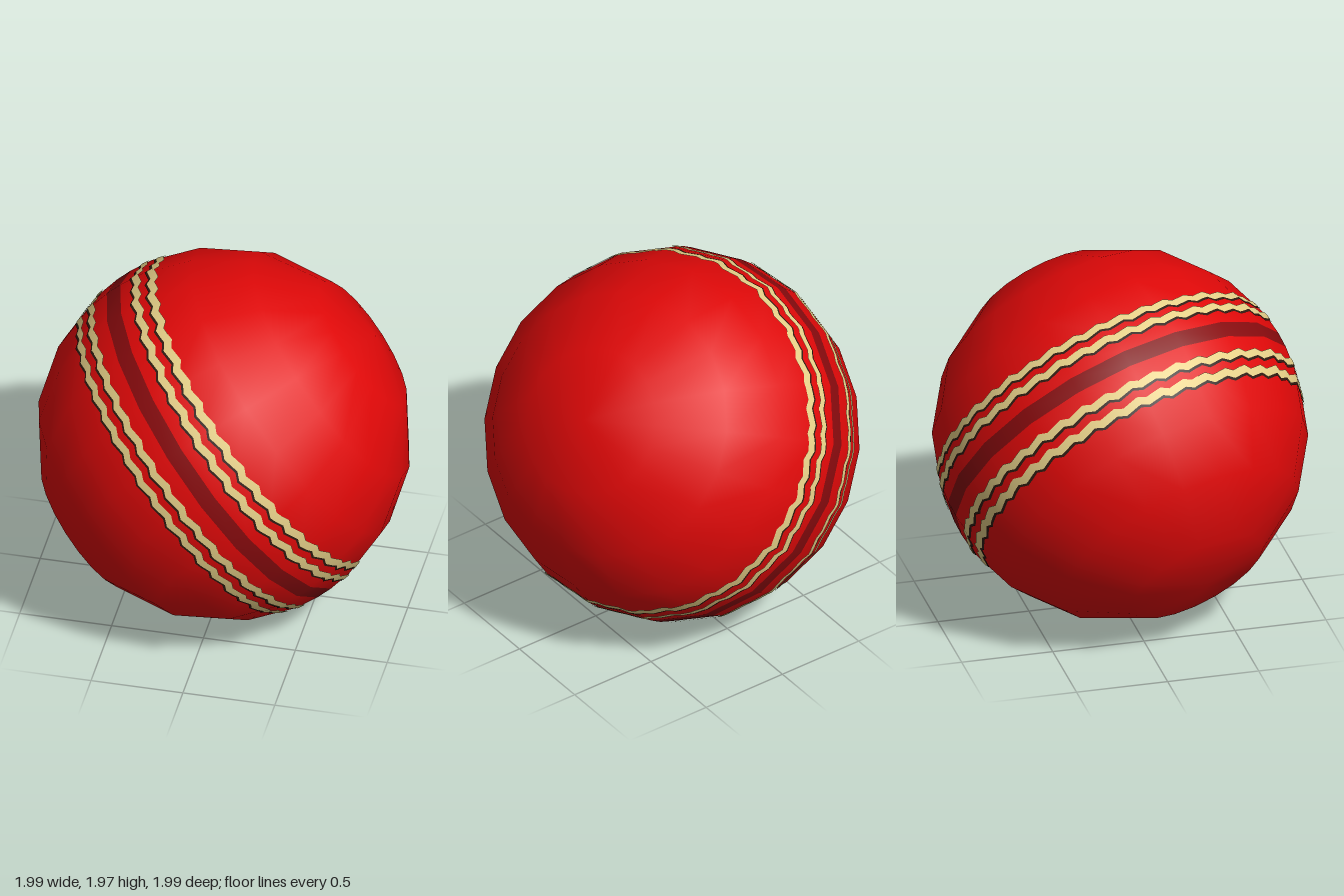
import * as THREE from 'three';

const SIDES = 20;
const SEAM_AXIS = new THREE.Vector3(0.767, 0.587, -0.262).normalize();

// Latitudes (degrees) of the rings that make up the low-sided ball
const LATITUDES = [-90, -67, -45, -26, -10, -2.6, 2.6, 10, 26, 45, 67, 90];
const profile = LATITUDES.map((d) => {
  const a = THREE.MathUtils.degToRad(d);
  return new THREE.Vector2(Math.max(Math.cos(a), 0), Math.sin(a));
});

// Distance of the faceted ball surface from the seam axis at height h and angle a
function surfaceRadius(h, a) {
  let i = 0;
  while (i < profile.length - 2 && profile[i + 1].y < h) i++;
  const p = profile[i], q = profile[i + 1];
  const r = THREE.MathUtils.lerp(p.x, q.x, (h - p.y) / (q.y - p.y));
  const step = (Math.PI * 2) / SIDES;
  const local = (a % step) - step / 2;
  return (r * Math.cos(step / 2)) / Math.cos(local);
}

// Mesh with rounded normals pointing straight out from the ball centre
function roundedMesh(name, geometry, material) {
  const normals = geometry.attributes.position.clone();
  geometry.setAttribute('normal', normals);
  geometry.normalizeNormals();
  const mesh = new THREE.Mesh(geometry, material);
  mesh.name = name;
  return mesh;
}

// Revolved piece of the ball
function ballPiece(name, points, material) {
  return roundedMesh(name, new THREE.LatheGeometry(points, SIDES), material);
}

// Thin wavy ribbon that runs right round the ball at height h
function ribbon(name, h, halfWidth, lift, material) {
  const waves = 44, perWave = 6, count = waves * perWave;
  const positions = [], index = [];
  for (let i = 0; i <= count; i++) {
    const a = (i / count) * Math.PI * 2;
    // lopsided wave: slow drift, quick return
    const u = (i % perWave) / perWave;
    const wobble = 0.01 * (u < 0.67 ? u * 3 - 1 : 1 - (u - 0.67) * 6);
    for (const dy of [-halfWidth, halfWidth]) {
      const y = h + wobble + dy;
      const r = surfaceRadius(y, a) + lift;
      positions.push(r * Math.sin(a), y, r * Math.cos(a));
    }
  }
  for (let i = 0; i < count; i++) {
    const a = i * 2, b = a + 2;
    index.push(a, b, a + 1, b, b + 1, a + 1);
  }
  const geometry = new THREE.BufferGeometry();
  geometry.setAttribute('position', new THREE.Float32BufferAttribute(positions, 3));
  geometry.setIndex(index);
  return roundedMesh(name, geometry, material);
}

export function createModel() {
  const flat = (name, color) => {
    const m = new THREE.MeshStandardMaterial({ color });
    m.name = name;
    return m;
  };
  const red = flat('redLeather', 0xdf0808);
  const darkRed = flat('darkRedSeam', 0x860a0d);
  const tan = flat('tanThread', 0xe6d088);
  const brown = flat('darkBrownThreadEdge', 0x2e1a10);

  const ball = new THREE.Group();
  ball.name = 'ball';

  // Two leather halves and the seam strip between them
  ball.add(ballPiece('lowerHalf', profile.slice(0, 6), red));
  ball.add(ballPiece('seamStrip', profile.slice(5, 7), darkRed));
  ball.add(ballPiece('upperHalf', profile.slice(6), red));

  // Two rows of stitching on each side of the seam, each with a dark lower edge
  const rows = {
    lowerOuter: -0.244, lowerInner: -0.15, upperInner: 0.146, upperOuter: 0.236,
  };
  for (const [label, h] of Object.entries(rows)) {
    ball.add(ribbon(label + 'Stitch', h, 0.021, 0.007, tan));
    ball.add(ribbon(label + 'StitchEdge', h - 0.013, 0.021, 0.004, brown));
  }

  // Tilt the seam and stand the ball on the ground
  ball.quaternion.setFromUnitVectors(new THREE.Vector3(0, 1, 0), SEAM_AXIS);
  ball.position.y = 1;

  const model = new THREE.Group();
  model.name = 'stitchedBall';
  model.add(ball);
  return model;
}
